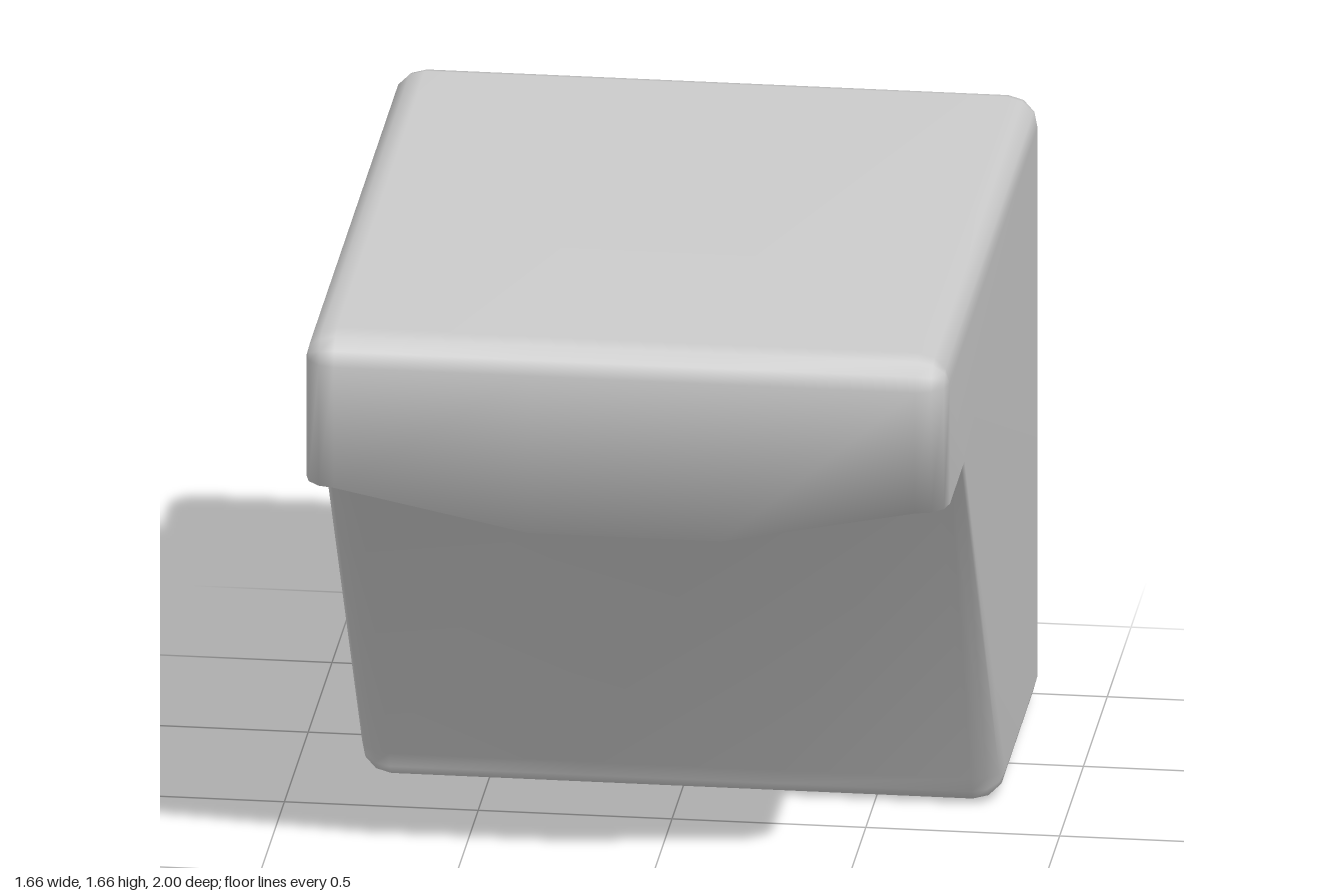
import * as THREE from 'three';
import { mergeVertices } from 'three/addons/utils/BufferGeometryUtils.js';

const R = 0.08;          // edge rounding
const STEPS = 3;         // segments per rounded edge
const HALF_W = 0.83, HEIGHT = 1.665, DEPTH = 1;

// Side outline as [z, y]: block with an overhanging front lip above a sloped face.
// r is the corner rounding, drop lowers the lip's underside towards the middle.
function outline(r, drop) {
  const lipY = 1.255 - drop;
  const points = [[0.61 + drop * 0.6, lipY], [DEPTH - R + r, lipY]];
  const corners = [
    [DEPTH - R, HEIGHT - R],
    [R - DEPTH, HEIGHT - R],
    [R - DEPTH, R],
    [-0.17 - R, R],
  ];
  corners.forEach(([z, y], k) => {
    for (let s = 0; s <= STEPS; s++) {
      const a = (k + s / STEPS) * Math.PI / 2;
      points.push([z + r * Math.cos(a), y + r * Math.sin(a)]);
    }
  });
  return points;
}

// Cross-sections from the right side to the left, rounded at both ends
function sections() {
  const half = [{ x: 0.25, r: R, drop: 0.1 }];
  for (let s = 0; s <= STEPS; s++) {
    const a = s / STEPS * Math.PI / 2;
    half.push({ x: HALF_W - R + R * Math.sin(a), r: R * Math.cos(a), drop: 0 });
  }
  return [...half.map((h) => ({ ...h, x: -h.x })).reverse(), ...half];
}

function blockGeometry() {
  const rings = sections();
  const positions = [], index = [];
  let n = 0;
  for (const { x, r, drop } of rings) {
    const points = outline(r, drop);
    n = points.length;
    for (const [z, y] of points) positions.push(x, y, z);
  }
  // Skin between sections
  for (let j = 0; j < rings.length - 1; j++) {
    for (let i = 0; i < n; i++) {
      const k = (i + 1) % n;
      const a = j * n + i, b = j * n + k, c = b + n, d = a + n;
      index.push(a, d, c, a, c, b);
    }
  }
  // Side faces, fanned from the inner corner under the lip
  const last = (rings.length - 1) * n;
  for (let i = 1; i < n - 1; i++) {
    index.push(0, i, i + 1);
    index.push(last, last + i + 1, last + i);
  }
  const geometry = new THREE.BufferGeometry();
  geometry.setAttribute('position', new THREE.Float32BufferAttribute(positions, 3));
  geometry.setIndex(index);
  const merged = mergeVertices(geometry, 1e-4);
  merged.computeVertexNormals();
  return merged;
}

export function createModel() {
  const group = new THREE.Group();
  const block = new THREE.Mesh(
    blockGeometry(),
    new THREE.MeshStandardMaterial({ color: 0xcccccc }),
  );
  block.name = 'overhangingBlock';
  group.add(block);
  return group;
}
